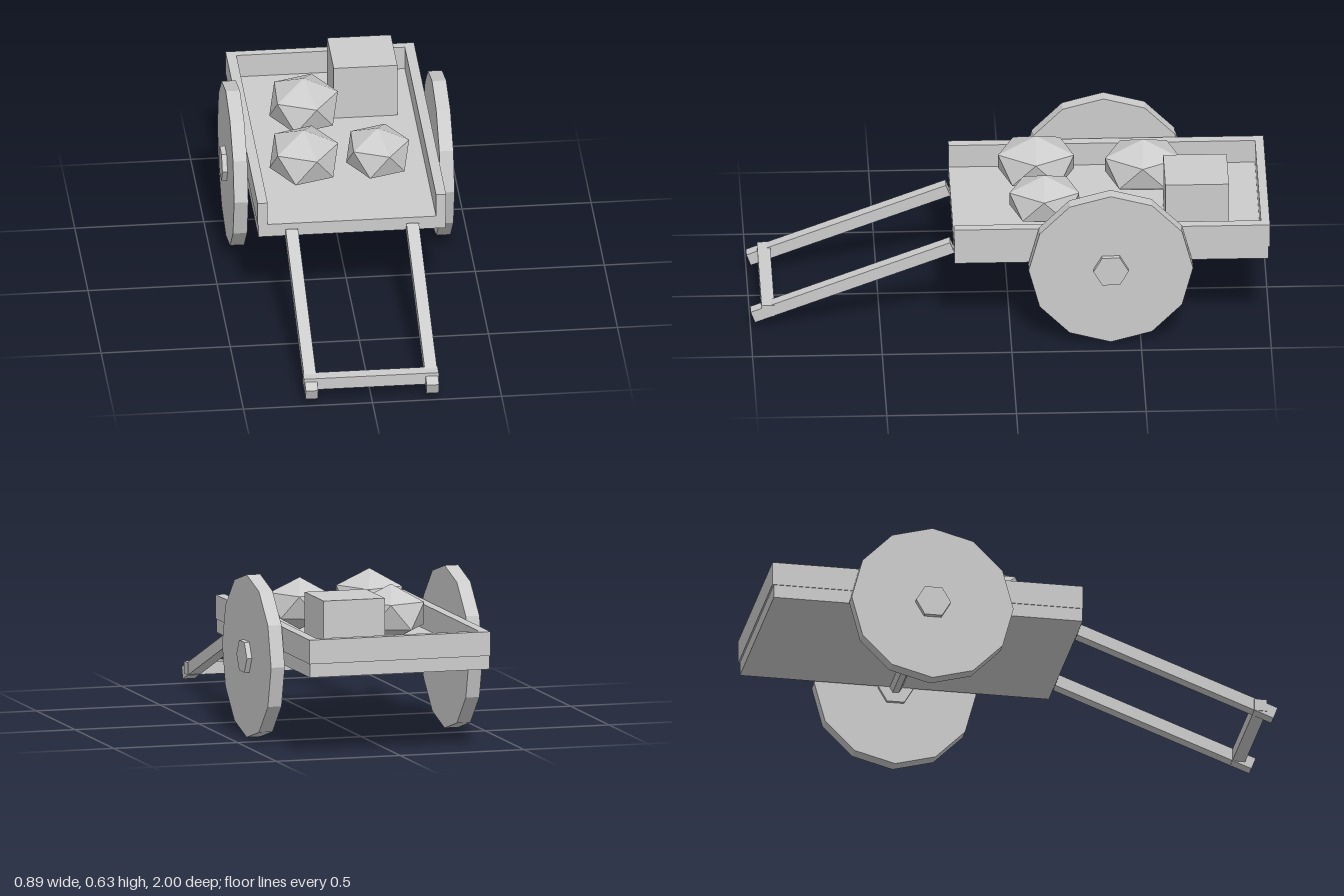
import * as THREE from 'three';
import { ConvexGeometry } from 'three/addons/geometries/ConvexGeometry.js';

export function createModel() {
  const cart = new THREE.Group();
  cart.name = 'handcart';
  const grey = new THREE.MeshStandardMaterial({ color: 0xcccccc, flatShading: true });
  grey.name = 'plain grey';

  const add = (name, geometry, x, y, z) => {
    const mesh = new THREE.Mesh(geometry, grey);
    mesh.name = name;
    mesh.position.set(x, y, z);
    cart.add(mesh);
    return mesh;
  };
  // Box given by its limits on each axis
  const box = (name, x0, x1, y0, y1, z0, z1) =>
    add(name, new THREE.BoxGeometry(x1 - x0, y1 - y0, z1 - z0),
      (x0 + x1) / 2, (y0 + y1) / 2, (z0 + z1) / 2);
  // Faceted disc or rod lying along x
  const rod = (name, radius, length, sides, x) =>
    add(name, new THREE.CylinderGeometry(radius, radius, length, sides).rotateZ(Math.PI / 2),
      x, 0.318, -0.384);

  // Bed with three low walls, open at the front
  box('bedFloor', -0.362, 0.362, 0.32, 0.373, -0.994, 0.216);
  box('backWall', -0.365, 0.365, 0.373, 0.467, -1, -0.966);
  for (const [side, s] of [['left', 1], ['right', -1]]) {
    const wall = box(side + 'Wall', 0.326, 0.365, 0.373, 0.467, -0.966, 0.216);
    wall.position.x *= s;

    // Wheels and hubs
    rod(side + 'Wheel', 0.317, 0.055, 12, s * 0.3995);
    rod(side + 'Hub', 0.068, 0.088, 6, s * 0.403);

    // Sloping pull handle
    const handle = add(side + 'Handle', new THREE.BoxGeometry(0.048, 0.048, 0.822),
      s * 0.234, 0.188, 0.606);
    handle.rotation.x = 0.36;
  }
  rod('axle', 0.024, 0.73, 6, 0);
  box('handleCrossbar', -0.261, 0.261, 0.047, 0.095, 0.907, 0.957);

  // Cargo: a crate and three squashed twenty-sided stones
  box('crate', 0.013, 0.26, 0.373, 0.592, -0.845, -0.6);
  const stone = (x, z, rx, ry, rz) => {
    const points = [new THREE.Vector3(0, ry, 0), new THREE.Vector3(0, -ry, 0)];
    for (let i = 0; i < 5; i++) {
      const a = 0.276 + i * Math.PI * 0.4;
      const p = new THREE.Vector3(Math.sin(a) * 0.894 * rx, 0.447 * ry, Math.cos(a) * 0.894 * rz);
      points.push(p, p.clone().negate());
    }
    add('stone', new ConvexGeometry(points), x, 0.373 + ry, z);
  };
  stone(-0.111, -0.527, 0.148, 0.1115, 0.172);
  stone(-0.152, -0.116, 0.148, 0.1115, 0.172);
  stone(0.136, -0.138, 0.136, 0.102, 0.158);

  return cart;
}
